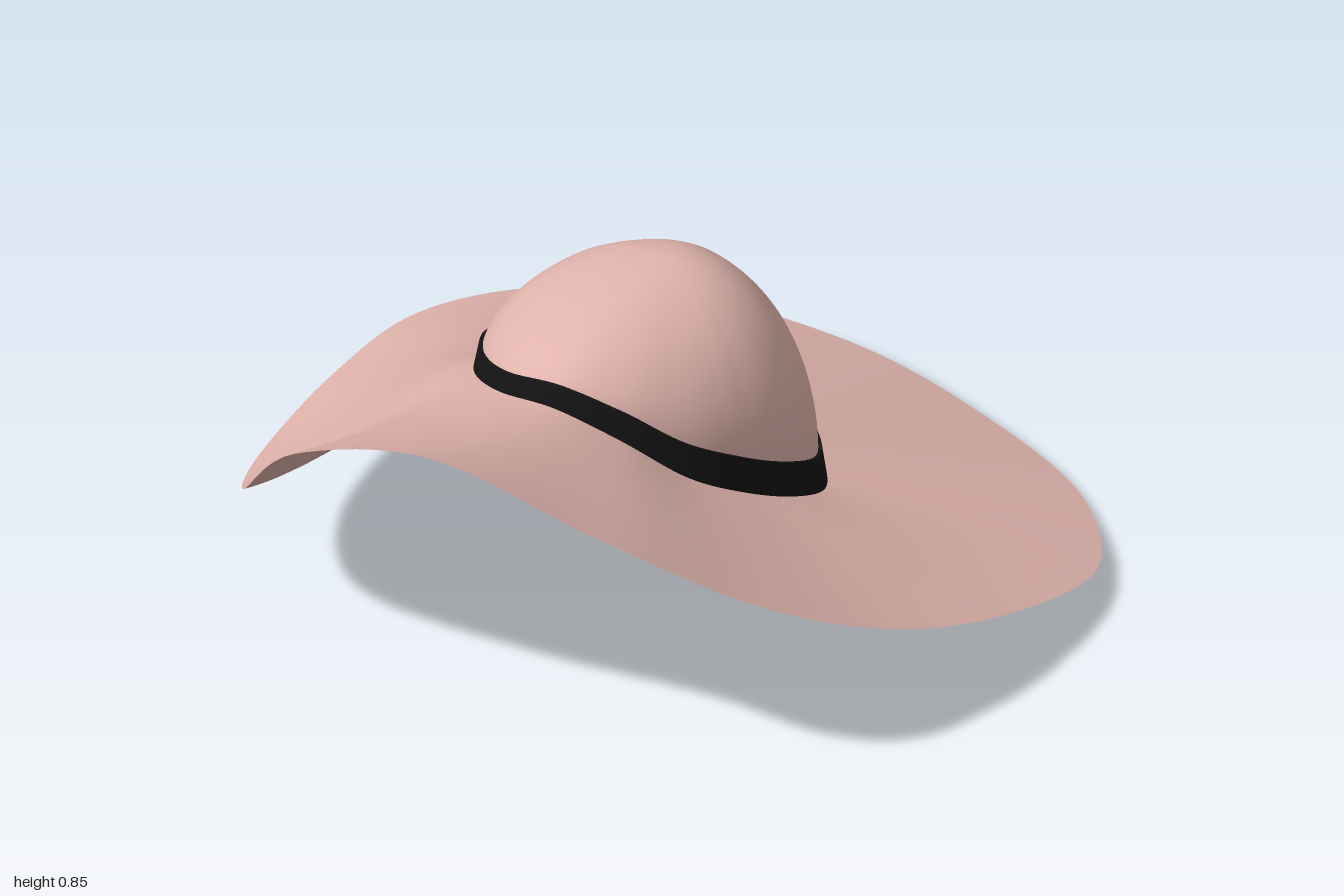
import * as THREE from 'three';

const N = 128; // divisions around the hat
const lerp = THREE.MathUtils.lerp;

// Closed loops, one point every 22.5 degrees from +x towards +z.
const curve = (pts) => new THREE.CatmullRomCurve3(pts, true, 'catmullrom', 0.5);

// Outer edge of the brim: x, y, z
const rim = curve([
  [0.91, 0.3, 0], [0.87, 0.48, 0.35], [0.7, 0.705, 0.68], [0.39, 0.85, 0.91],
  [0, 0.7, 1], [-0.36, 0.37, 0.87], [-0.62, 0.24, 0.62], [-0.81, 0.215, 0.27],
  [-0.91, 0.205, -0.05], [-0.88, 0.16, -0.38], [-0.73, 0.09, -0.7], [-0.4, 0.025, -0.935],
  [0.02, 0.003, -1], [0.4, 0.02, -0.95], [0.72, 0.07, -0.74], [0.87, 0.175, -0.36],
].map((p) => new THREE.Vector3(...p)));

// Head opening where the brim meets the band: radius, height
const opening = curve([
  [0.375, 0.395], [0.38, 0.48], [0.39, 0.59], [0.405, 0.655],
  [0.41, 0.635], [0.395, 0.585], [0.385, 0.53], [0.395, 0.45],
  [0.41, 0.36], [0.415, 0.29], [0.42, 0.25], [0.42, 0.225],
  [0.41, 0.22], [0.415, 0.225], [0.415, 0.25], [0.395, 0.32],
].map(([r, y], i) => {
  const a = (i * Math.PI) / 8;
  return new THREE.Vector3(r * Math.cos(a), y, r * Math.sin(a));
}));

// How far a direction points to the front, 0 to 1
const frontness = (u) => Math.max(0, Math.sin(u * Math.PI * 2));

// Upper edge of the band, pulled in by a factor
function bandTop(u, scale) {
  const p = opening.getPoint(u);
  return new THREE.Vector3(p.x * scale, p.y + 0.088 - 0.042 * frontness(u) ** 2, p.z * scale);
}

// Surface closed around u, running along t
function loft(rows, point) {
  const pos = [], index = [];
  for (let j = 0; j <= rows; j++) {
    for (let i = 0; i < N; i++) pos.push(...point(i / N, j / rows).toArray());
  }
  for (let j = 0; j < rows; j++) {
    for (let i = 0; i < N; i++) {
      const a = j * N + i, b = j * N + ((i + 1) % N);
      index.push(a, b, a + N, b, b + N, a + N);
    }
  }
  const g = new THREE.BufferGeometry();
  g.setAttribute('position', new THREE.Float32BufferAttribute(pos, 3));
  g.setIndex(index);
  g.computeVertexNormals();
  return g;
}

export function createModel() {
  const hat = new THREE.Group();
  hat.name = 'sunHat';
  const felt = new THREE.MeshStandardMaterial({ color: 0xe0b4ac, side: THREE.DoubleSide });
  const ribbon = new THREE.MeshStandardMaterial({ color: 0x141414, side: THREE.DoubleSide });
  const add = (name, geometry, material) => {
    const mesh = new THREE.Mesh(geometry, material);
    mesh.name = name;
    hat.add(mesh);
  };

  // Wavy brim: straight at the back, easing in and out towards the front
  add('brim', loft(28, (u, t) => {
    const a = opening.getPoint(u), b = rim.getPoint(u), f = frontness(u);
    const rising = THREE.MathUtils.smoothstep(b.y - a.y, -0.1, 0.15);
    const eased = lerp(t * t * (3 - 2 * t), t ** 1.5, rising);
    const p = a.clone().lerp(b, t);
    p.y = lerp(a.y, b.y, lerp(t, eased, f * 0.75));
    return p;
  }), felt);

  // Domed crown, from the apex down to the band
  const apex = new THREE.Vector3(0.03, 0.82, -0.06);
  add('crown', loft(32, (u, t) => {
    const base = bandTop(u, 0.95);
    base.y -= 0.01;
    const k = (t * Math.PI) / 2;
    const p = apex.clone().lerp(base, Math.sin(k));
    p.y = lerp(base.y, apex.y, Math.cos(k) ** (1 + 0.35 * frontness(u)));
    return p;
  }), felt);

  // Hat band with a small lip turned in to the crown
  add('bandLip', loft(1, (u, t) => bandTop(u, lerp(0.945, 0.97, t))), ribbon);
  add('band', loft(4, (u, t) => bandTop(u, 0.97).lerp(opening.getPoint(u), t)), ribbon);

  return hat;
}
